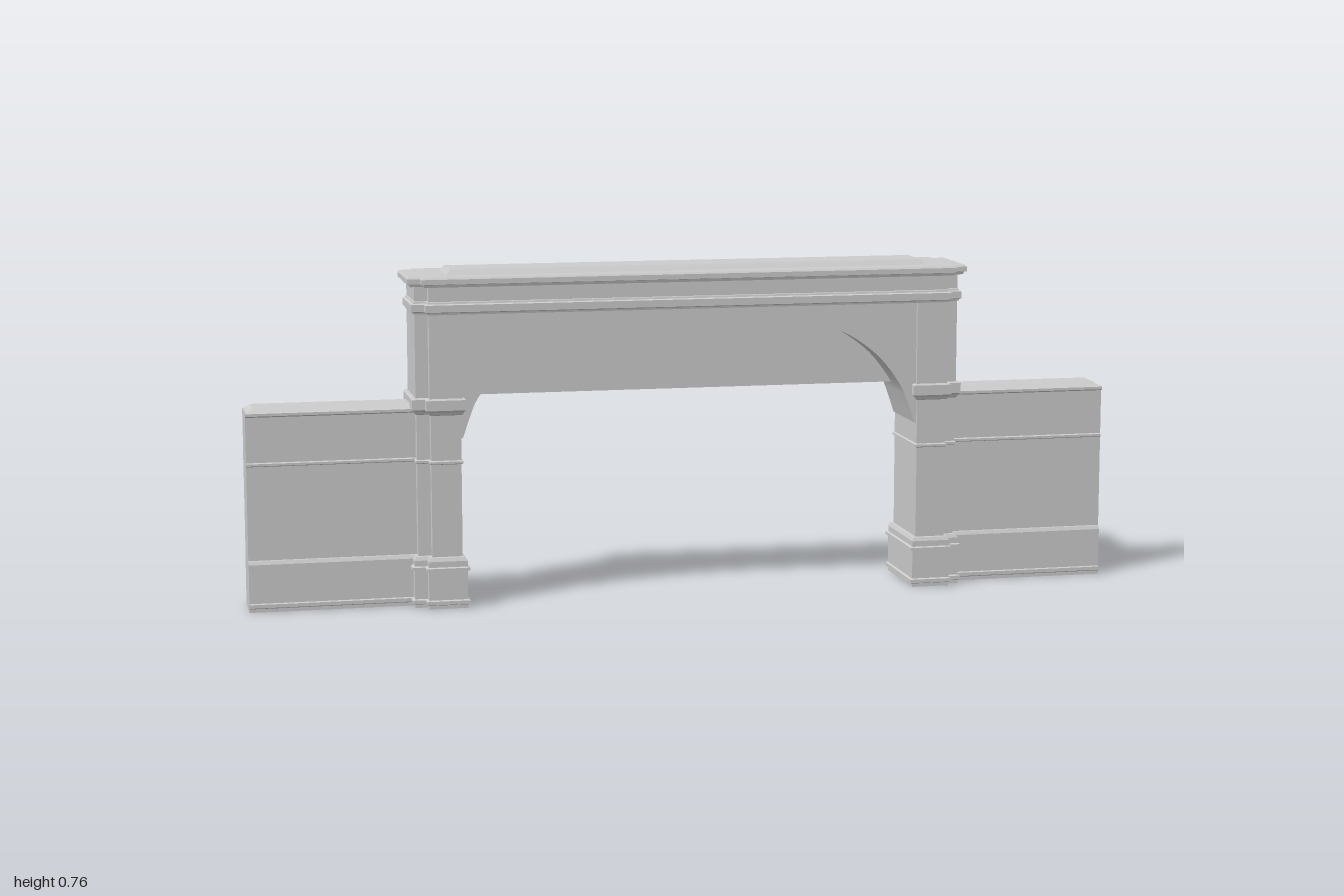
import * as THREE from 'three';
import { toCreasedNormals } from 'three/addons/utils/BufferGeometryUtils.js';

const material = new THREE.MeshStandardMaterial({ color: 0xcccccc, side: THREE.DoubleSide });

function add(parent, name, geometry) {
  const mesh = new THREE.Mesh(geometry, material);
  mesh.name = name;
  parent.add(mesh);
  return mesh;
}

// Carries a plan upward through a moulding profile.
// plan: [x, z, outward x, outward z] per corner; profile: [offset, y] per ring.
function moulding(plan, profile, capped = false) {
  const rings = profile.map(([o, y]) => plan.map(([x, z, ox, oz]) => [x + o * ox, y, z + o * oz]));
  const pos = [];
  for (let r = 0; r < rings.length - 1; r++) {
    for (let i = 0; i < plan.length; i++) {
      const j = (i + 1) % plan.length;
      const [a, b, c, d] = [rings[r][i], rings[r][j], rings[r + 1][j], rings[r + 1][i]];
      pos.push(...a, ...b, ...c, ...a, ...c, ...d);
    }
  }
  if (capped) {
    const top = rings[rings.length - 1];
    const contour = top.map((p) => new THREE.Vector2(p[0], -p[2]));
    for (const face of THREE.ShapeUtils.triangulateShape(contour, [])) {
      for (const i of face) pos.push(...top[i]);
    }
  }
  const geometry = new THREE.BufferGeometry();
  geometry.setAttribute('position', new THREE.Float32BufferAttribute(pos, 3));
  geometry.computeVertexNormals();
  return geometry;
}

// Rectangular plan; ends = 0 keeps the x ends flat while the sides step out
const rectangle = (x0, x1, z, ends = 1) => [
  [x0, z, -ends, 1], [x1, z, ends, 1], [x1, -z, ends, -1], [x0, -z, -ends, -1],
];

// Outer end of the gate, with notched corners
const notchedEnd = [
  [0.598, 0.09, 1, 1], [0.598, 0.068, 1, 1], [0.627, 0.068, 1, 1],
  [0.627, -0.068, 1, -1], [0.598, -0.068, 1, -1], [0.598, -0.09, 1, -1],
];

export function createModel() {
  const model = new THREE.Group();
  model.name = 'gateway';
  const gate = new THREE.Group();
  gate.name = 'gate';
  gate.position.x = 0.005;
  model.add(gate);

  // Pillars: plinth, shaft with ring, capital and upper pilaster
  const pillarPlan = [[0.53, 0.09, -1, 1], ...notchedEnd, [0.53, -0.09, -1, -1]];
  const pillarProfile = [
    [0.01, 0], [0.01, 0.008], [0.015, 0.01], [0.015, 0.018], [0.01, 0.02],
    [0.01, 0.085], [0.015, 0.086], [0.015, 0.093], [0.01, 0.095], [0.01, 0.108], [0.006, 0.116], [0, 0.117],
    [0, 0.327], [0.004, 0.329], [0.004, 0.334], [0, 0.336],
    [0, 0.438], [0.004, 0.44], [0.006, 0.445], [0.011, 0.45], [0.011, 0.473], [0.008, 0.476], [0.002, 0.476],
    [0.002, 0.672],
  ];
  const pillarGeometry = moulding(pillarPlan, pillarProfile);

  // Side walls: plinth, string courses and weathered coping
  const wallGeometry = moulding(rectangle(0.605, 1, 0.044, 0), [
    [0.006, 0], [0.006, 0.008], [0.009, 0.01], [0.009, 0.018], [0.006, 0.02],
    [0.006, 0.108], [0.002, 0.116], [0, 0.117],
    [0, 0.329], [0.004, 0.331], [0.004, 0.336], [0, 0.338],
    [0, 0.44], [0.006, 0.443], [0.006, 0.449], [0, 0.45],
  ], true);
  const copingGeometry = moulding(rectangle(0.605, 0.995, 0.044), [[0, 0.45], [-0.012, 0.46]], true);

  for (const [side, angle] of [['left', 0], ['right', Math.PI]]) {
    add(gate, side + 'Pillar', pillarGeometry).rotation.y = angle;
    add(model, side + 'Wall', wallGeometry).rotation.y = angle;
    add(model, side + 'WallCoping', copingGeometry).rotation.y = angle;
  }

  // Arch between the pillars, flat in the middle and curving to brackets
  const rightCurve = new THREE.SplineCurve([
    [0.525, 0.385], [0.508, 0.435], [0.49, 0.475], [0.44, 0.54],
    [0.37, 0.592], [0.31, 0.613], [0.24, 0.62],
  ].map(([x, y]) => new THREE.Vector2(x, y))).getPoints(24);
  const leftCurve = rightCurve.map((p) => new THREE.Vector2(-p.x, p.y)).reverse();
  const archShape = new THREE.Shape([
    new THREE.Vector2(-0.56, 0.672), new THREE.Vector2(0.56, 0.672), new THREE.Vector2(0.56, 0.385),
    ...rightCurve, ...leftCurve, new THREE.Vector2(-0.56, 0.385),
  ]);
  const archGeometry = new THREE.ExtrudeGeometry(archShape, { depth: 0.168, bevelEnabled: false });
  archGeometry.translate(0, 0, -0.084);
  add(gate, 'arch', toCreasedNormals(archGeometry, 0.5));

  // Thin panel hanging in the middle of the arch
  add(gate, 'archPanel', new THREE.PlaneGeometry(1.04, 0.16)).position.y = 0.55;

  // Entablature across the whole gate
  const leftEnd = notchedEnd.map(([x, z, ox, oz]) => [-x, -z, -ox, -oz]);
  add(gate, 'entablature', moulding([...notchedEnd, ...leftEnd], [
    [-0.012, 0.664], [0.005, 0.664], [0.006, 0.668], [0.01, 0.67], [0.01, 0.686], [0.005, 0.688], [0.004, 0.692], [0.002, 0.693],
    [0.002, 0.725], [0.012, 0.726], [0.014, 0.732], [0.019, 0.733], [0.019, 0.744], [0.016, 0.748],
  ], true));

  // Raised slab on top
  add(gate, 'topSlab', moulding(rectangle(-0.555, 0.555, 0.058), [[0, 0.748], [-0.01, 0.76]], true));

  return model;
}
